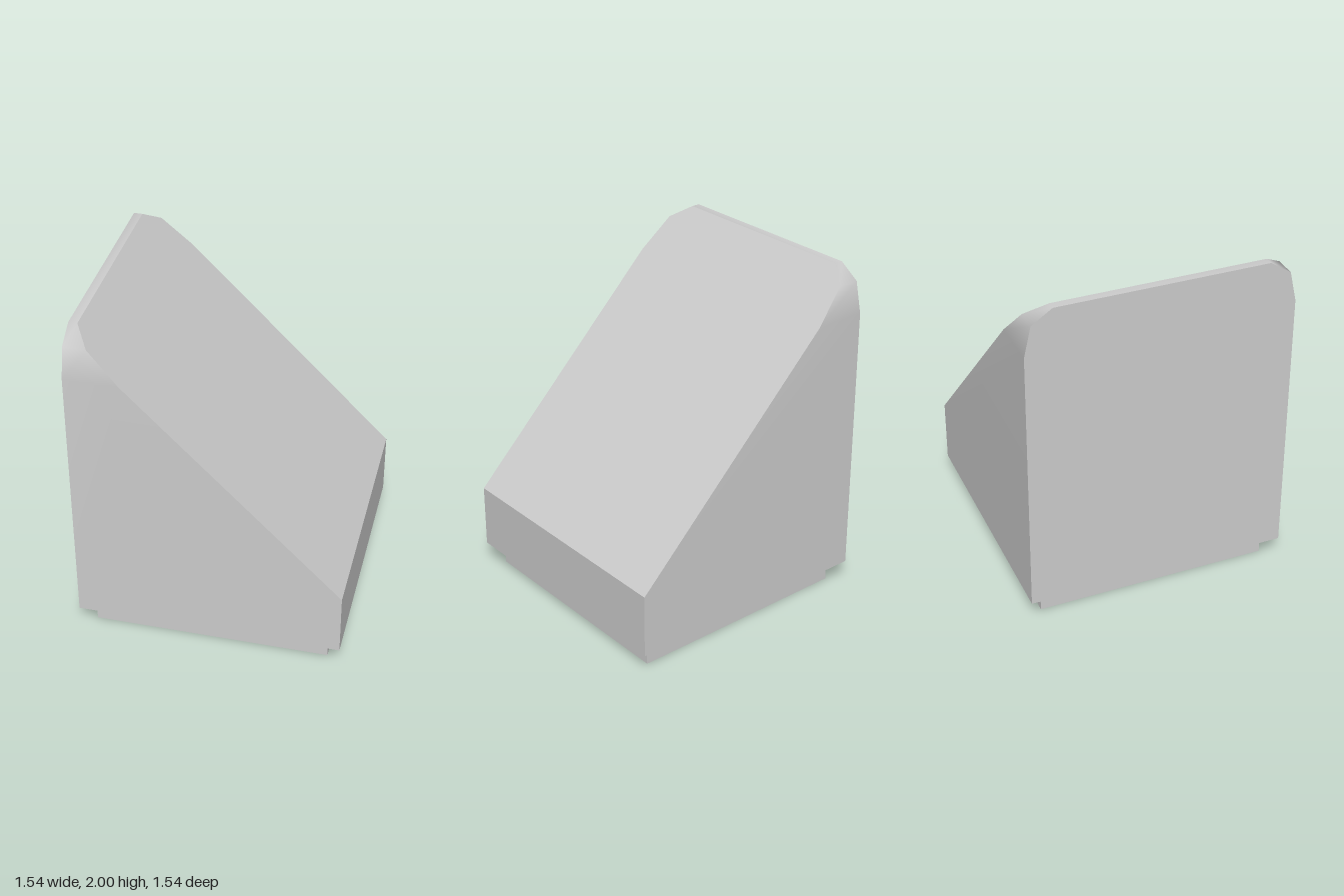
import * as THREE from 'three';

const HALF = 0.77;      // half width of the body
const BASE_HALF = 0.69; // half width of the foot
const HOLE_HALF = 0.46; // half width of the cavity
const BODY_Y = 0.13;
const LIP_Y = 0.51;
const CAVITY_Y = 0.75;

// Where the front of the body lies at a given height
const frontX = (y) => Math.min(HALF, 1.28 - y);

// End outline [z, y]: one side with its clipped top corner, then mirrored
const side = [[HALF, BODY_Y], [HALF, LIP_Y], [HALF, 1.74], [0.73, 1.92], [0.61, 2]];
const outline = [...side, ...side.map(([z, y]) => [-z, y]).reverse()];

const toShape = (points) => new THREE.Shape(points.map(([a, b]) => new THREE.Vector2(a, b)));
const square = (h) => [[-h, -h], [h, -h], [h, h], [-h, h]];

function squareRing(outer) {
  const shape = toShape(square(outer));
  shape.holes.push(toShape(square(HOLE_HALF)));
  return shape;
}

// Smooth band over both sides and the narrow top
function shellGeometry() {
  const positions = [];
  const index = [];
  outline.forEach(([z, y], i) => {
    positions.push(-HALF, y, z, frontX(y), y, z);
    if (i < outline.length - 1) {
      const b = i * 2;
      index.push(b, b + 1, b + 3, b, b + 3, b + 2);
    }
  });
  const geometry = new THREE.BufferGeometry();
  geometry.setAttribute('position', new THREE.Float32BufferAttribute(positions, 3));
  geometry.setIndex(index);
  geometry.computeVertexNormals();
  return geometry;
}

// Flat end face facing +x, pushed onto the front of the body
function frontGeometry(points) {
  const geometry = new THREE.ShapeGeometry(toShape(points)).rotateY(Math.PI / 2);
  const p = geometry.attributes.position;
  for (let i = 0; i < p.count; i++) p.setX(i, frontX(p.getY(i)));
  geometry.computeVertexNormals();
  return geometry;
}

export function createModel() {
  const model = new THREE.Group();
  model.name = 'slopedBlock';
  const grey = new THREE.MeshStandardMaterial({ color: 0xcccccc });
  grey.name = 'light grey';

  const add = (name, geometry, parent = model) => {
    const mesh = new THREE.Mesh(geometry, grey);
    mesh.name = name;
    parent.add(mesh);
    return mesh;
  };

  // Body
  const body = new THREE.Group();
  body.name = 'body';
  model.add(body);
  add('sidesAndTop', shellGeometry(), body);
  add('slope', frontGeometry(outline.filter(([, y]) => y >= LIP_Y)), body);
  add('lowFace', frontGeometry(outline.filter(([, y]) => y <= LIP_Y)), body);
  add('tallFace', new THREE.ShapeGeometry(toShape(outline))
    .rotateY(-Math.PI / 2).translate(-HALF, 0, 0), body);
  add('underside', new THREE.ShapeGeometry(squareRing(HALF))
    .rotateX(Math.PI / 2).translate(0, BODY_Y, 0), body);

  // Foot, open in the middle
  add('foot', new THREE.ExtrudeGeometry(squareRing(BASE_HALF), { depth: BODY_Y, bevelEnabled: false })
    .rotateX(-Math.PI / 2));

  // Cavity: four inward walls and a ceiling
  const cavity = new THREE.Group();
  cavity.name = 'cavity';
  model.add(cavity);
  const wallHeight = CAVITY_Y - BODY_Y;
  for (let i = 0; i < 4; i++) {
    add('cavityWall', new THREE.PlaneGeometry(HOLE_HALF * 2, wallHeight)
      .translate(0, BODY_Y + wallHeight / 2, -HOLE_HALF)
      .rotateY(i * Math.PI / 2), cavity);
  }
  add('cavityCeiling', new THREE.PlaneGeometry(HOLE_HALF * 2, HOLE_HALF * 2)
    .rotateX(Math.PI / 2).translate(0, CAVITY_Y, 0), cavity);

  return model;
}
